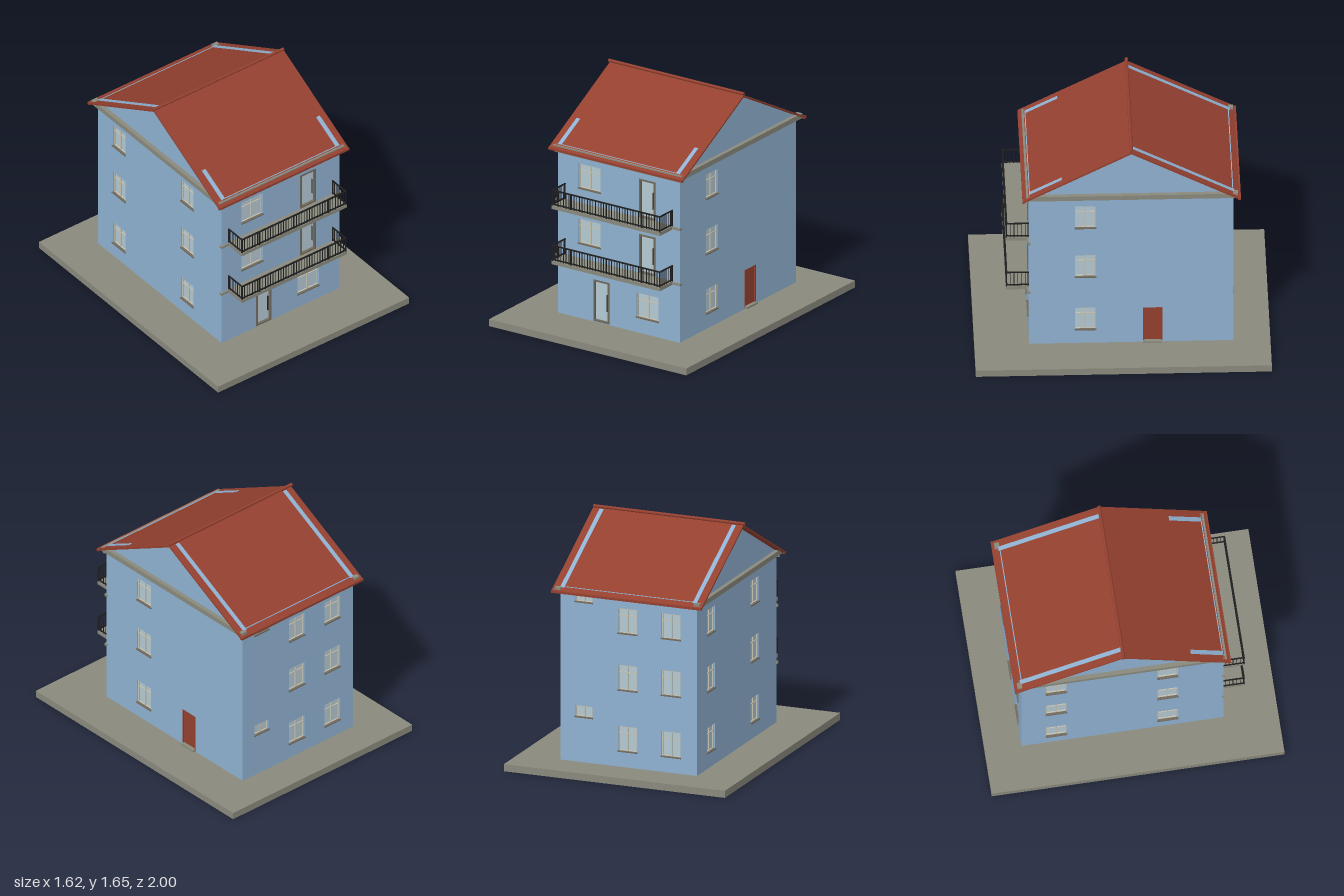
import * as THREE from 'three';

const mat = (name, color, side = THREE.FrontSide) => {
  const m = new THREE.MeshStandardMaterial({ color, side });
  m.name = name;
  return m;
};

export function createModel() {
  const blue = mat('blue render', 0x8fb1d1);
  const red = mat('red tile', 0x94402f);
  const grey = mat('grey stone', 0x8a897d);
  const glass = mat('pale glass', 0xb3c8d2);
  const cream = mat('cream frame', 0xc4c1b2);
  const brown = mat('brown frame', 0x70695c);
  const black = mat('black iron', 0x1e1e20);

  const house = new THREE.Group();
  house.name = 'house';
  const FRONT = 0.63, BACK = -0.75, SIDE = 0.5, T = 0.03, RIDGE_Z = -0.06;
  const roofY = z => 1.635 - Math.abs(z - RIDGE_Z) * 0.531;

  // Box given by its limits on each axis
  function box(parent, name, m, x0, x1, y0, y1, z0, z1) {
    const mesh = new THREE.Mesh(new THREE.BoxGeometry(x1 - x0, y1 - y0, z1 - z0), m);
    mesh.position.set((x0 + x1) / 2, (y0 + y1) / 2, (z0 + z1) / 2);
    mesh.name = name;
    parent.add(mesh);
    return mesh;
  }

  // Rectangular border of four bars
  function border(parent, name, m, x0, x1, y0, y1, t, z0, z1) {
    box(parent, name, m, x0, x0 + t, y0, y1, z0, z1);
    box(parent, name, m, x1 - t, x1, y0, y1, z0, z1);
    box(parent, name, m, x0 + t, x1 - t, y1 - t, y1, z0, z1);
    box(parent, name, m, x0 + t, x1 - t, y0, y0 + t, z0, z1);
  }

  // Fittings for an opening; the outer wall face is at local z = 0
  function fitWindow(wall, { u, w, y0, y1, small }) {
    const g = new THREE.Group();
    g.name = 'window';
    const a = u - w / 2, b = u + w / 2;
    box(g, 'windowGlass', glass, a, b, y0, y1, -0.024, -0.018);
    border(g, 'windowFrame', cream, a, b, y0, y1, 0.007, -0.018, -0.009);
    box(g, 'windowMullion', cream, u - 0.004, u + 0.004, y0, y1, -0.018, -0.01);
    if (!small) {
      const yt = y0 + (y1 - y0) * 0.71;
      box(g, 'windowTransom', cream, a, b, yt - 0.003, yt + 0.003, -0.018, -0.011);
    }
    box(g, 'windowSill', brown, a - 0.004, b + 0.004, y0 - 0.004, y0 + 0.003, -0.018, 0.008);
    wall.add(g);
  }

  function fitGlassDoor(wall, { u, w, y0, y1 }) {
    const g = new THREE.Group();
    g.name = 'glassDoor';
    const a = u - w / 2, b = u + w / 2, mid = (y0 + y1) / 2 - 0.005;
    box(g, 'doorGlass', glass, a, b, y0, y1, -0.024, -0.014);
    border(g, 'doorFrame', brown, a, b, y0, y1, 0.012, -0.02, 0.004);
    box(g, 'doorHandle', black, b - 0.027, b - 0.023, mid - 0.06, mid + 0.06, -0.014, -0.004);
    wall.add(g);
  }

  function fitSolidDoor(wall, { u, w, y0, y1 }) {
    const a = u - w / 2, b = u + w / 2;
    box(wall, 'sideDoor', red, a, b, y0, y1, -0.024, -0.008);
    border(wall, 'sideDoorFrame', red, a, b, y0, y1, 0.008, -0.02, 0.002);
    box(wall, 'sideDoorStep', grey, a, b, y0, y0 + 0.012, -0.01, 0.02);
  }

  const fitters = { window: fitWindow, glassDoor: fitGlassDoor, solidDoor: fitSolidDoor };

  // Wall of a given outline, pierced by its openings and turned to face outward
  function makeWall(name, outline, openings, angle, distance) {
    const wall = new THREE.Group();
    wall.name = name;
    const shape = new THREE.Shape(outline.map(p => new THREE.Vector2(...p)));
    for (const { u, w, y0, y1 } of openings) {
      shape.holes.push(new THREE.Path([
        [u - w / 2, y0], [u - w / 2, y1], [u + w / 2, y1], [u + w / 2, y0],
      ].map(p => new THREE.Vector2(...p))));
    }
    const geo = new THREE.ExtrudeGeometry(shape, { depth: T, bevelEnabled: false });
    geo.translate(0, 0, -T);
    const panel = new THREE.Mesh(geo, blue);
    panel.name = name + 'Panel';
    wall.add(panel);
    openings.forEach(o => fitters[o.kind](wall, o));
    wall.rotation.y = angle;
    wall.position.set(Math.sin(angle) * distance, 0, Math.cos(angle) * distance);
    house.add(wall);
  }

  const rows = [0.16, 0.59, 0.99];
  const win = (u, y0, w = 0.14, h = 0.177) => ({ kind: 'window', u, w, y0, y1: y0 + h });
  const column = u => rows.map(y => win(u, y));
  const straight = [[-SIDE, 0.045], [SIDE, 0.045], [SIDE, 1.272], [-SIDE, 1.272]];

  // Ground slab
  box(house, 'groundSlab', grey, -0.81, 0.81, 0, 0.05, -1, 1);

  // Front wall
  makeWall('frontWall', straight, [
    win(0.235, 0.16, 0.18), win(-0.24, 0.59, 0.18), win(-0.24, 0.99, 0.18),
    { kind: 'glassDoor', u: -0.1425, w: 0.13, y0: 0.055, y1: 0.355 },
    { kind: 'glassDoor', u: 0.233, w: 0.132, y0: 0.485, y1: 0.767 },
    { kind: 'glassDoor', u: 0.233, w: 0.132, y0: 0.887, y1: 1.167 },
  ], 0, FRONT);

  // Back wall, with two small stair windows
  const stair = y0 => ({ kind: 'window', u: -0.33, w: 0.13, y0, y1: y0 + 0.08, small: true });
  makeWall('backWall', straight,
    [...column(-0.01), ...column(0.31), stair(0.367), stair(1.177)], Math.PI, -BACK);

  // Gable walls, whose tops break slightly through the roof
  const gable = s => [
    [BACK, 0.045], [FRONT, 0.045], [FRONT, roofY(FRONT) + 0.004], [0.41, roofY(0.41) + 0.003],
    [0.405, roofY(0.405) - 0.004], [RIDGE_Z, 1.63], [-0.075, roofY(-0.075) + 0.003],
    [BACK - 0.008, roofY(BACK - 0.008) + 0.003], [BACK, 1.26],
  ].map(([z, y]) => [s * z, y]);
  makeWall('leftWall', gable(-1), [
    ...column(-0.25), { kind: 'solidDoor', u: 0.205, w: 0.13, y0: 0.052, y1: 0.33 },
  ], Math.PI / 2, SIDE);
  makeWall('rightWall', gable(1), [...column(0.25), ...column(-0.51)], -Math.PI / 2, SIDE);

  // Roof: folded sheet with eaves strips and a ridge tile
  const eaveF = 0.67, eaveB = -0.79, th = 0.013;
  const profile = new THREE.Shape([
    [eaveF, roofY(eaveF)], [RIDGE_Z, roofY(RIDGE_Z)], [eaveB, roofY(eaveB)],
    [eaveB, roofY(eaveB) - th], [RIDGE_Z, roofY(RIDGE_Z) - th], [eaveF, roofY(eaveF) - th],
  ].map(([z, y]) => new THREE.Vector2(-z, y)));
  const roofGeo = new THREE.ExtrudeGeometry(profile, { depth: 1.1, bevelEnabled: false });
  roofGeo.translate(0, 0, -0.55).rotateY(Math.PI / 2);
  const roof = new THREE.Mesh(roofGeo, red);
  roof.name = 'roof';
  house.add(roof);
  box(house, 'frontEave', red, -0.55, 0.55, 1.233, 1.249, 0.657, 0.676);
  box(house, 'backEave', red, -0.55, 0.55, 1.233, 1.249, -0.8, -0.78);
  const ridge = new THREE.Mesh(new THREE.CylinderGeometry(0.011, 0.011, 1.11, 12), red);
  ridge.name = 'ridgeTile';
  ridge.rotation.z = Math.PI / 2;
  ridge.position.set(-0.005, 1.643, RIDGE_Z);
  house.add(ridge);

  // Cornice along front and sides, returning at the back corners
  box(house, 'frontCornice', grey, -0.53, 0.53, 1.235, 1.266, FRONT, 0.65);
  box(house, 'frontCorniceStep', grey, -0.52, 0.52, 1.215, 1.235, FRONT, 0.645);
  for (const s of [-1, 1]) {
    const xs = [s * SIDE, s * 0.53].sort((a, b) => a - b);
    box(house, 'sideCornice', grey, ...xs, 1.235, 1.27, -0.78, FRONT);
    const xr = [s * 0.487, s * SIDE].sort((a, b) => a - b);
    box(house, 'corniceReturn', grey, ...xr, 1.235, 1.27, -0.78, BACK);
  }

  // Balconies: slab, string course and iron railing
  for (const y of [0.46, 0.86]) {
    const b = new THREE.Group();
    b.name = 'balcony';
    const R = 0.44, Z = 0.78, top = y + 0.14;
    box(b, 'balconySlab', grey, -0.445, 0.445, y, y + 0.025, FRONT, 0.785);
    box(b, 'stringCourse', grey, -0.51, 0.51, y + 0.004, y + 0.021, FRONT - 0.01, 0.642);
    const bar = (x, z, r) => box(b, r > 0.003 ? 'railingPost' : 'baluster', black,
      x - r, x + r, y + 0.02, top, z - r, z + r);
    for (const [y0, y1] of [[top - 0.008, top], [y + 0.032, y + 0.039]]) {
      box(b, 'frontRail', black, -R - 0.004, R + 0.004, y0, y1, Z - 0.005, Z + 0.005);
      for (const s of [-1, 1])
        box(b, 'sideRail', black, s * R - 0.004, s * R + 0.004, y0, y1, FRONT, Z);
    }
    for (let i = 1; i < 40; i++) bar(-R + i * 0.022, Z, 0.002);
    for (const x of [-R, -0.293, 0, 0.293, R]) bar(x, Z, 0.004);
    for (const s of [-1, 1]) {
      for (let i = 1; i < 6; i++) bar(s * R, FRONT + i * 0.025, 0.002);
      bar(s * R, FRONT + 0.005, 0.004);
    }
    house.add(b);
  }

  return house;
}
